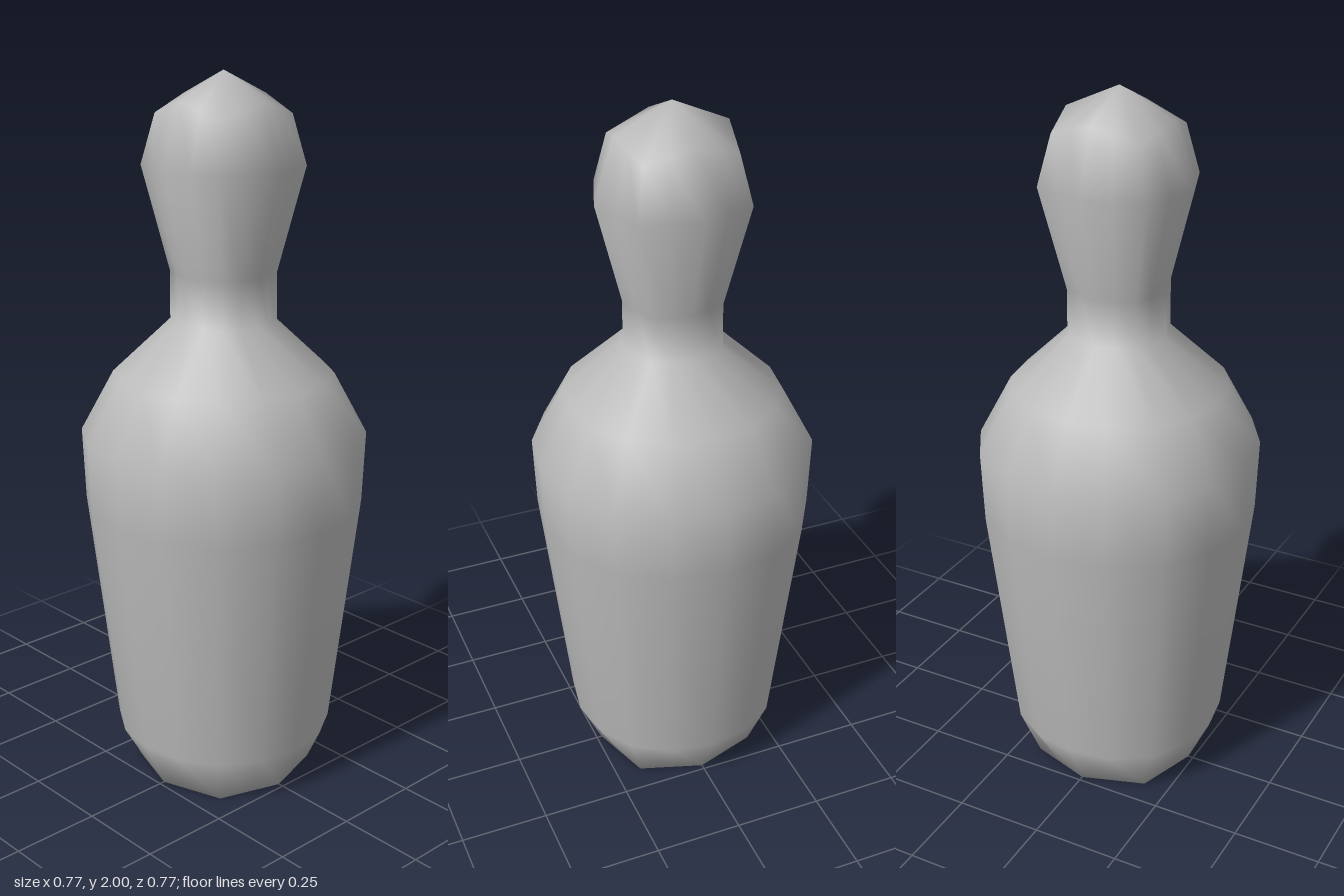
import * as THREE from 'three';
import { mergeVertices } from 'three/addons/utils/BufferGeometryUtils.js';

// Rings from bottom to top: height, radius on the axes, radius on the diagonals, sides, drop of the diagonals
const RINGS = [
  [0.00, 0.000, 0.000, 8, 0],
  [0.00, 0.235, 0.250, 8, 0],
  [0.14, 0.300, 0.308, 16, 0],
  [0.82, 0.378, 0.388, 16, 0],
  [1.02, 0.384, 0.396, 16, 0],
  [1.19, 0.295, 0.304, 16, 0],
  [1.34, 0.140, 0.145, 8, 0],
  [1.47, 0.138, 0.144, 8, 0],
  [1.755, 0.210, 0.219, 8, 0],
  [1.93, 0.155, 0.180, 8, 0.04],
  [2.00, 0.000, 0.000, 8, 0],
];
const COLUMNS = 16;

// One point of a ring; eight-sided rings put their odd points midway between the corners
function ringPoint([y, axisR, diagR, sides, drop], j) {
  const corner = (k) => {
    const t = (1 - Math.cos((k / COLUMNS) * Math.PI * 8)) / 2; // 0 on the axes, 1 on the diagonals
    const r = axisR + (diagR - axisR) * t;
    const a = (k / COLUMNS) * Math.PI * 2;
    return new THREE.Vector3(r * Math.sin(a), y - drop * t, r * Math.cos(a));
  };
  if (sides === 8 && j % 2) return corner(j - 1).add(corner(j + 1)).multiplyScalar(0.5);
  return corner(j);
}

// Skin the rings into one smooth closed surface
function skin(rings) {
  const positions = [];
  const index = [];
  rings.forEach((ring, i) => {
    for (let j = 0; j < COLUMNS; j++) {
      positions.push(...ringPoint(ring, j).toArray());
      if (i === rings.length - 1) continue;
      const next = (j + 1) % COLUMNS;
      const a = i * COLUMNS + j;
      const b = i * COLUMNS + next;
      const c = b + COLUMNS;
      const d = a + COLUMNS;
      if (i > 0) index.push(a, b, d); // the bottom pole has no lower edge
      if (i < rings.length - 2) index.push(b, c, d); // the top pole has no upper edge
      if (i === 0) index.push(a, c, d);
    }
  });
  const raw = new THREE.BufferGeometry();
  raw.setAttribute('position', new THREE.Float32BufferAttribute(positions, 3));
  raw.setIndex(index);
  const geometry = mergeVertices(raw, 1e-4);
  geometry.computeVertexNormals();
  return geometry;
}

export function createModel() {
  const group = new THREE.Group();
  group.name = 'bowlingPin';

  const grey = new THREE.MeshStandardMaterial({ color: 0xbcbcbc });
  grey.name = 'light grey';

  const pin = new THREE.Mesh(skin(RINGS), grey);
  pin.name = 'pinBody';
  group.add(pin);
  return group;
}
